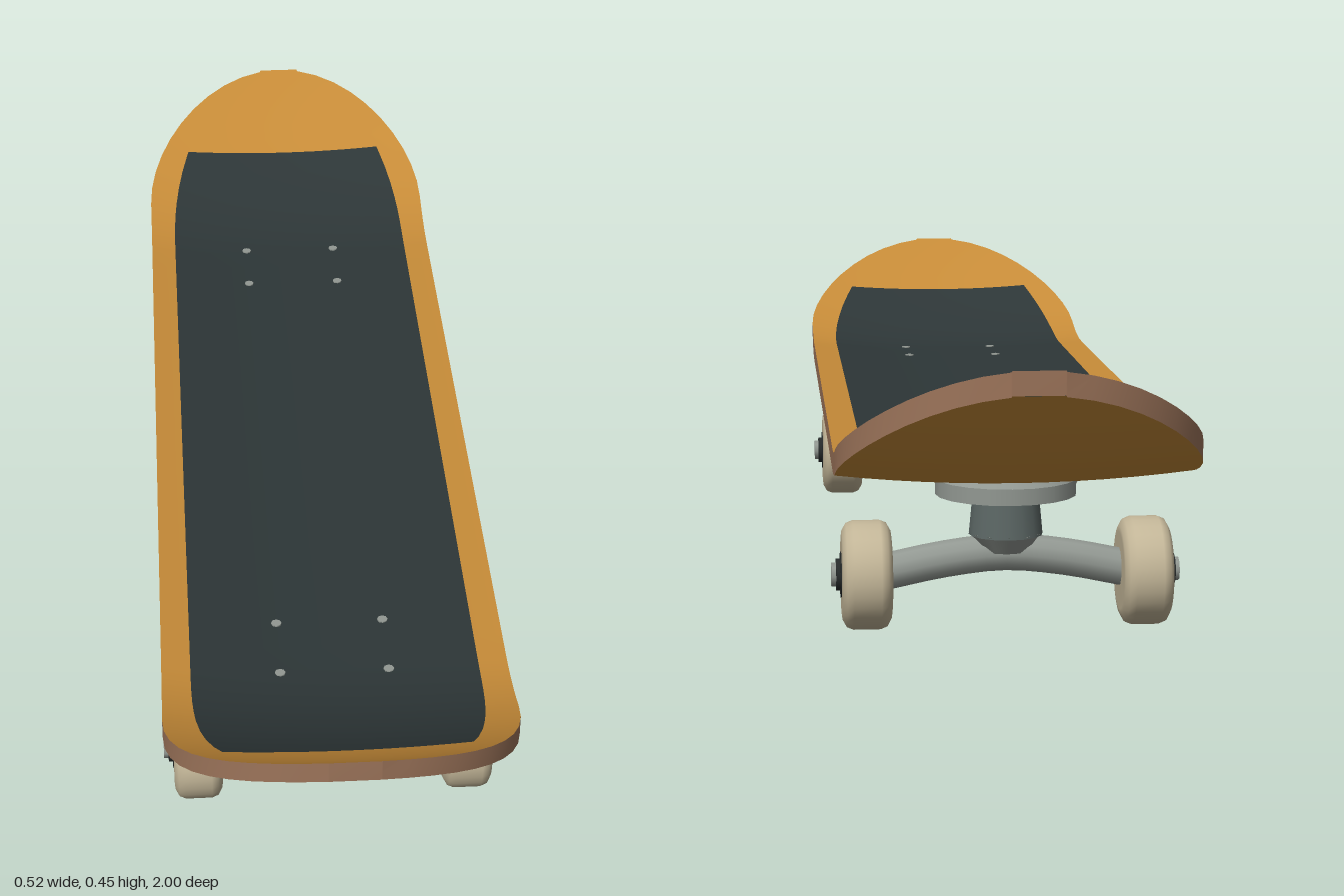
import * as THREE from 'three';

const mat = (name, color, side = THREE.FrontSide) => {
  const m = new THREE.MeshStandardMaterial({ color, side });
  m.name = name;
  return m;
};

// Deck dimensions
const HALF_W = 0.257, THICK = 0.033, KICK = 0.6, ROUND = 0.74;

// Height of the deck's top face: upturned ends and a slight concave
function deckY(x, z) {
  const t = Math.max(0, (Math.abs(z) - KICK) / (1 - KICK));
  return 0.265 + 0.18 * t * t + 0.015 * (x / HALF_W) ** 2;
}

// Half width of the board: straight sides, elliptical ends with a short blunt tip
function deckHalfWidth(z) {
  const s = Math.max(0, (Math.abs(z) - ROUND) / (1 - ROUND));
  return Math.max(0.035, HALF_W * Math.sqrt(Math.max(0, 1 - s * s)));
}

// Smooth surface from a grid of points; faces point along d(i) x d(j)
function gridSurface(ni, nj, point) {
  const pos = [], idx = [];
  for (let i = 0; i <= ni; i++) {
    for (let j = 0; j <= nj; j++) {
      pos.push(...point(i, j));
      if (i < ni && j < nj) {
        const a = i * (nj + 1) + j, b = a + nj + 1;
        idx.push(a, b, b + 1, a, b + 1, a + 1);
      }
    }
  }
  const g = new THREE.BufferGeometry();
  g.setAttribute('position', new THREE.Float32BufferAttribute(pos, 3));
  g.setIndex(idx);
  g.computeVertexNormals();
  return g;
}

export function createModel() {
  const model = new THREE.Group();
  model.name = 'skateboard';

  const wood = mat('orange wood', 0xc68b38);
  const edge = mat('brown ply edge', 0x9c745a);
  const gripMat = mat('dark grip', 0x2d3637, THREE.DoubleSide);
  const metal = mat('light metal', 0x929892);
  const darkMetal = mat('grey metal', 0x5c6765);
  const wheelMat = mat('cream wheel', 0xc3b698);
  const black = mat('black bearing', 0x262a2a);

  const add = (parent, name, geometry, material, x = 0, y = 0, z = 0) => {
    const mesh = new THREE.Mesh(geometry, material);
    mesh.name = name;
    mesh.position.set(x, y, z);
    parent.add(mesh);
    return mesh;
  };

  // Rows along the board, closer together towards the tips
  const half = [0, 0.3, 0.55];
  for (let i = 0; i < 5; i++) half.push(KICK + i * 0.028);
  for (let i = 0; i <= 11; i++) half.push(ROUND + (1 - ROUND) * Math.sin(i / 11 * Math.PI / 2));
  const rows = [...half.slice(1).reverse().map(z => -z), ...half];
  const n = rows.length - 1, cols = 12;

  // Deck faces
  const sheet = (dir, drop) => gridSurface(n, cols, (i, j) => {
    const z = rows[i], x = dir * (2 * j / cols - 1) * deckHalfWidth(z);
    return [x, deckY(x, z) - drop, z];
  });
  add(model, 'deckTop', sheet(1, 0), wood);
  add(model, 'deckUnderside', sheet(-1, THICK), wood);

  // Deck rim, following the outline once around
  const loop = [
    ...rows.map(z => [deckHalfWidth(z), z]),
    ...[...rows].reverse().map(z => [-deckHalfWidth(z), z]),
  ];
  loop.push(loop[0]);
  add(model, 'deckRim', gridSurface(loop.length - 1, 1, (i, j) => {
    const [x, z] = loop[i];
    return [x, deckY(x, z) - j * THICK, z];
  }), edge);

  // Grip sheet laid just above the deck, narrowing at the ends
  const gripRows = [-0.855, ...rows.filter(z => z > -0.85 && z < 0.87), 0.875];
  const gripHalfWidth = z => {
    const t = Math.max(0, (Math.abs(z) - 0.6) / 0.275);
    return 0.214 - 0.04 * t ** 3;
  };
  add(model, 'gripSheet', gridSurface(gripRows.length - 1, cols, (i, j) => {
    const z = gripRows[i], x = (2 * j / cols - 1) * gripHalfWidth(z);
    return [x, deckY(x, z) + 0.003, z];
  }), gripMat);

  // Shared truck geometry
  const v2 = pts => pts.map(([x, y]) => new THREE.Vector2(x, y));
  const plateGeo = new THREE.CylinderGeometry(0.105, 0.105, 0.024, 20);
  const plateTopGeo = new THREE.CylinderGeometry(0.092, 0.105, 0.014, 20);
  const pillarGeo = new THREE.CylinderGeometry(0.049, 0.055, 0.064, 16);
  const pivotGeo = new THREE.CylinderGeometry(0.055, 0.034, 0.028, 12);
  const hangerPath = new THREE.CatmullRomCurve3(
    [[-0.18, 0.085], [-0.09, 0.103], [0, 0.112], [0.09, 0.103], [0.18, 0.085]]
      .map(([x, y]) => new THREE.Vector3(x, y, 0)));
  const hangerGeo = new THREE.TubeGeometry(hangerPath, 12, 0.028, 12);
  const boltGeo = new THREE.CylinderGeometry(0.008, 0.008, 0.008, 8);

  // Wheel profile (radius, offset along the axle), turned to lie along x
  const wheelGeo = new THREE.LatheGeometry(v2([
    [0.001, -0.037], [0.058, -0.037], [0.066, -0.036], [0.077, -0.030], [0.081, -0.020],
    [0.081, 0.020], [0.077, 0.030], [0.066, 0.036], [0.058, 0.037], [0.001, 0.037],
  ]), 28).rotateZ(-Math.PI / 2);
  const disc = (r, len, sides) =>
    new THREE.CylinderGeometry(r, r, len, sides).rotateZ(Math.PI / 2);
  const bearingGeo = disc(0.034, 0.008, 20);
  const washerGeo = disc(0.024, 0.012, 16);
  const nutGeo = disc(0.018, 0.02, 8);

  for (const [name, z] of [['frontTruck', 0.55], ['rearTruck', -0.55]]) {
    const truck = new THREE.Group();
    truck.name = name;
    truck.position.z = z;
    model.add(truck);

    // Base, pillar and hanger
    add(truck, 'basePlate', plateGeo, metal, 0, 0.213, 0);
    add(truck, 'basePlateBevel', plateTopGeo, metal, 0, 0.232, 0);
    add(truck, 'pillar', pillarGeo, darkMetal, 0, 0.172, 0);
    add(truck, 'pivot', pivotGeo, metal, 0, 0.129, 0);
    add(truck, 'hanger', hangerGeo, metal);

    for (const s of [-1, 1]) {
      // Wheel with bearing, washer and axle nut
      add(truck, 'wheel', wheelGeo, wheelMat, s * 0.207, 0.081, 0);
      add(truck, 'bearing', bearingGeo, black, s * 0.2415, 0.082, 0);
      add(truck, 'washer', washerGeo, black, s * 0.246, 0.082, 0);
      add(truck, 'axleNut', nutGeo, metal, s * 0.249, 0.082, 0);
      // Mounting bolts through the deck
      for (const dz of [-0.058, 0.058]) {
        add(truck, 'bolt', boltGeo, metal, s * 0.081, deckY(0.081, z + dz) + 0.001, dz);
      }
    }
  }
  return model;
}
